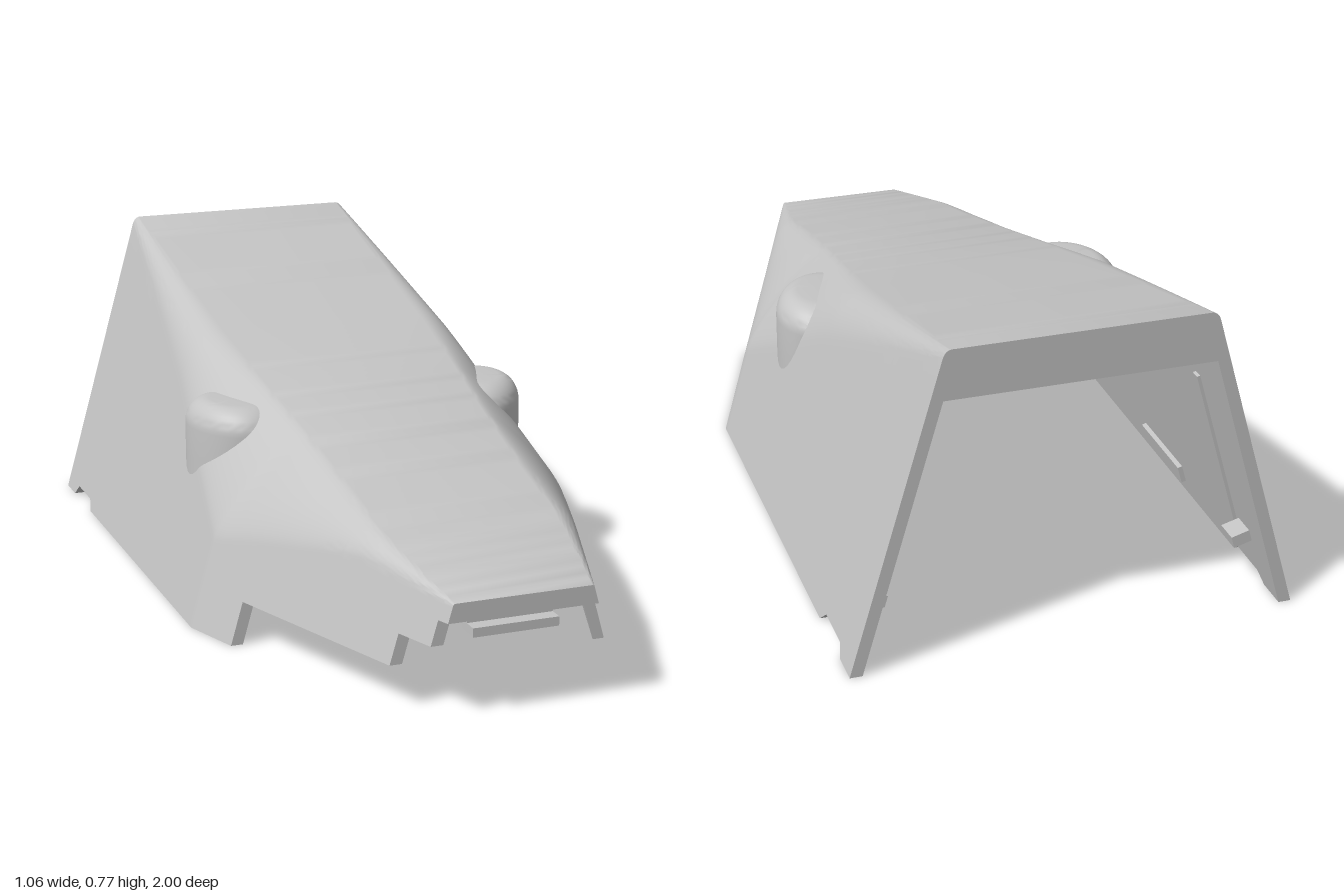
import * as THREE from 'three';
import { toCreasedNormals } from 'three/addons/utils/BufferGeometryUtils.js';

const SLOPE = 0.285;   // inward lean of the side walls
const WALL = 0.03;
const { lerp } = THREE.MathUtils;

// piecewise linear lookup through [position, value] pairs
function along(table, p) {
  for (let i = 1; i < table.length; i++) {
    const [a, va] = table[i - 1], [b, vb] = table[i];
    if (p <= b) return lerp(va, vb, Math.max(0, (p - a) / Math.max(b - a, 1e-9)));
  }
  return table[table.length - 1][1];
}

const topY = (z) => 0.531 - 0.244 * z;
const ceilingY = (z) => topY(z) - along([[-1, 0.12], [-0.65, 0.055], [1, 0.045]], z);
const wallX = (y, z) => 0.532 - SLOPE * y - 0.36 * Math.max(0, z - 0.22);

// shoulder shape along the body: flat top half width, roundness and drop
const topHalfWidth = (z) => along([[-1, 0.294], [-0.3, 0.273], [0, 0.255], [0.2, 0.237], [0.5, 0.217], [0.7, 0.212], [1, 0.165]], z);
const roundness = (z) => along([[-1, 1], [-0.3, 0.8], [0, 0.35], [0.25, 0.28], [0.7, 0.6], [1, 1]], z);
const dropRatio = (z) => along([[-1, 1.2], [-0.3, 1.4], [0, 1.6], [0.25, 1.6], [0.7, 1.2]], z);

// lower rim: rear notch, then steps that differ left and right
const notch = [[-0.92, 0], [-0.895, 0.027], [-0.775, 0.027], [-0.745, 0]];
const steps = {
  1: [[0.64, 0.242]],
  '-1': [[0.37, 0.108], [0.87, 0.182], [0.97, 0.242]],
};
function rimY(z, side) {
  let y = along(notch, z);
  for (const [at, h] of steps[side]) if (z > at) y = h;
  return Math.min(y, ceilingY(z));
}

const NS = 14, NB = 14;

// half section of the outer skin, from rim to top
function outerHalf(z, side) {
  const yt = topY(z), xt = topHalfWidth(z), xc = wallX(yt, z);
  const yEnd = yt - (xc - xt) * dropRatio(z), xEnd = wallX(yEnd, z);
  const y0 = rimY(z, side), w = roundness(z);
  const pts = [];
  for (let i = 0; i < NS; i++) {
    const y = lerp(y0, yEnd, i / NS);
    pts.push([side * wallX(y, z), y, z]);
  }
  for (let i = 0; i <= NB; i++) {
    const t = i / NB, a = (1 - t) * (1 - t), b = 2 * w * t * (1 - t), c = t * t, sum = a + b + c;
    pts.push([side * (a * xEnd + b * xc + c * xt) / sum, (a * yEnd + (b + c) * yt) / sum, z]);
  }
  return pts;
}

// half section of the inner skin, hollowed behind the eye
function innerHalf(z, side) {
  const y0 = rimY(z, side), y1 = ceilingY(z), pts = [];
  const skin = outerHalf(z, side).map(([x, y]) => [y, side * x]);
  const e = 1 - ((z + 0.035) / 0.115) ** 2;
  for (let i = 0; i <= NS + NB; i++) {
    const y = lerp(y0, y1, i / (NS + NB));
    let x = along(skin, y) - WALL;
    if (e > 0 && y < 0.445) x = Math.max(x, 0.335 + 0.085 * Math.sqrt(e));
    pts.push([side * x, y, z]);
  }
  return pts;
}

function shellGeometry() {
  const zs = [0.22];
  for (let i = 0; i <= 80; i++) zs.push(-1 + i * 0.025);
  for (const [z] of notch) zs.push(z);
  for (const s of [1, -1]) for (const [z] of steps[s]) zs.push(z - 1e-4, z + 1e-4);
  zs.sort((a, b) => a - b);

  const sections = zs.map((z) => ({
    outer: [...outerHalf(z, 1), ...outerHalf(z, -1).reverse()],
    inner: [...innerHalf(z, 1), ...innerHalf(z, -1).reverse()],
  }));
  // matching point counts let the end faces join outer to inner
  const pos = [];
  const A = new THREE.Vector3(), B = new THREE.Vector3(), C = new THREE.Vector3();
  const tri = (a, b, c) => {
    A.fromArray(a);
    B.fromArray(b).sub(A);
    C.fromArray(c).sub(A);
    if (B.cross(C).length() > 1e-9) pos.push(...a, ...b, ...c);
  };
  const quad = (a, b, c, d) => { tri(a, b, c); tri(a, c, d); };

  // skins and rims
  const rings = sections.map((s) => [...s.outer, ...[...s.inner].reverse()]);
  for (let i = 0; i + 1 < rings.length; i++) {
    const r = rings[i], q = rings[i + 1];
    for (let j = 0; j < r.length; j++) {
      const k = (j + 1) % r.length;
      quad(r[j], r[k], q[k], q[j]);
    }
  }
  // front and rear end faces
  const front = sections[sections.length - 1], rear = sections[0];
  for (let j = 0; j + 1 < front.outer.length; j++) {
    quad(front.outer[j], front.outer[j + 1], front.inner[j + 1], front.inner[j]);
    quad(rear.outer[j + 1], rear.outer[j], rear.inner[j], rear.inner[j + 1]);
  }
  const g = new THREE.BufferGeometry();
  g.setAttribute('position', new THREE.Float32BufferAttribute(pos, 3));
  return toCreasedNormals(g, 0.5);
}

// upright rounded bulge whose lower end is trimmed to the outer skin
function eyeGeometry() {
  const profile = [new THREE.Vector2(1, 0.2), new THREE.Vector2(1, 0.35)];
  for (let i = 0; i <= 10; i++) {
    const a = (i / 10) * Math.PI / 2;
    profile.push(new THREE.Vector2(0.5 + 0.5 * Math.cos(a), 0.43 + 0.065 * Math.sin(a)));
  }
  profile.push(new THREE.Vector2(0, 0.495));
  const g = new THREE.LatheGeometry(profile, 48);
  const p = g.attributes.position;
  for (let i = 0; i < p.count; i++) {
    const dz = p.getZ(i) * 0.145, z = dz - 0.035;
    const x = 0.332 + p.getX(i) * 0.112 - 0.13 * dz;
    const skin = outerHalf(z, 1).reverse();
    const y = Math.max(p.getY(i), Math.min(0.495, along(skin, x) - 0.012));
    p.setXYZ(i, x, y, z);
  }
  return toCreasedNormals(g, 0.6);
}

export function createModel() {
  const model = new THREE.Group();
  const grey = new THREE.MeshStandardMaterial({ color: 0xc4c4c4 });
  grey.name = 'plain grey';

  const add = (parent, name, geometry) => {
    const mesh = new THREE.Mesh(geometry, grey);
    mesh.name = name;
    parent.add(mesh);
    return mesh;
  };
  const box = (parent, name, size, at) => {
    const mesh = add(parent, name, new THREE.BoxGeometry(...size));
    mesh.position.set(...at);
    return mesh;
  };

  add(model, 'shell', shellGeometry());

  // eyes and inner wall fittings, mirrored
  const eye = eyeGeometry();
  for (const side of [1, -1]) {
    const half = new THREE.Group();
    half.name = side > 0 ? 'leftFittings' : 'rightFittings';
    half.scale.x = side;
    add(half, 'eye', eye);
    const onWall = (name, size, y, z) => {
      box(half, name, size, [0.502 - SLOPE * y - size[0] / 2 + 0.004, y, z]).rotation.z = Math.atan(SLOPE);
    };
    onWall('peg', [0.05, 0.03, 0.06], 0.13, -0.88);
    onWall('lowerRib', [0.016, 0.045, 0.24], 0.06, -0.35);
    onWall('uprightRib', [0.012, 0.42, 0.025], 0.33, -0.82);
    model.add(half);
  }

  // hooked clip under the nose
  const clip = new THREE.Group();
  clip.name = 'noseClip';
  box(clip, 'clipPlate', [0.21, 0.065, 0.03], [0, 0.218, 0.91]);
  box(clip, 'clipHook', [0.21, 0.022, 0.04], [0, 0.196, 0.94]);
  model.add(clip);

  return model;
}
